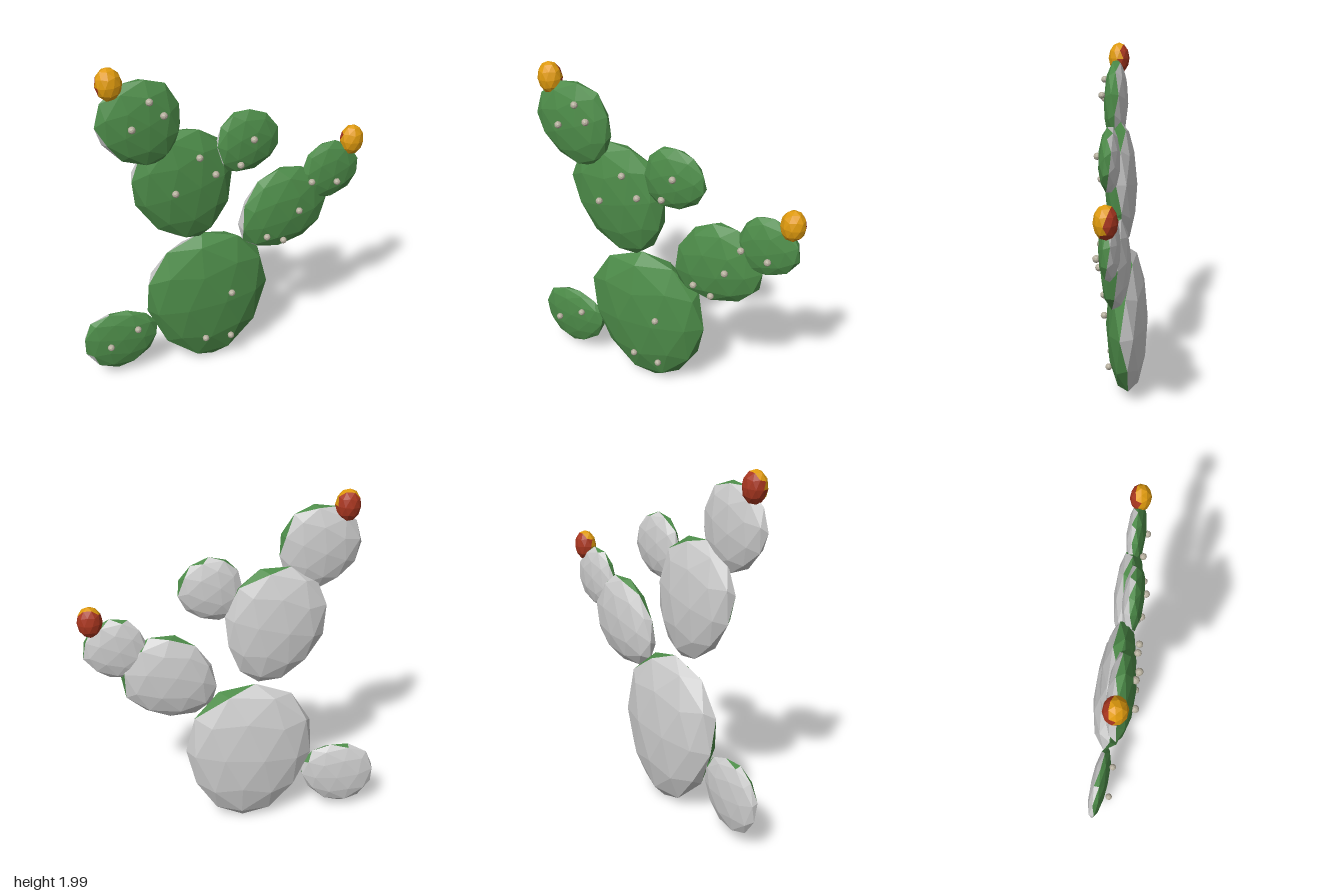
import * as THREE from 'three';

const mat = (name, color) => Object.assign(new THREE.MeshStandardMaterial({ color, flatShading: true }), { name });

// Faceted egg with its narrow end at the bottom; facets are split into a front and a back colour.
function twoToneEgg(name, { pos, size, tilt = 0, taper = 0, lean = 0, spin = 0, facing, mats }) {
  const ball = new THREE.IcosahedronGeometry(1, 1);
  ball.rotateZ(Math.atan(2 / (1 + Math.sqrt(5)))); // one vertex straight up
  ball.rotateY(spin);
  const p = ball.attributes.position;
  const zAxis = new THREE.Vector3(0, 0, 1);
  const sides = [[], []];
  for (let i = 0; i < p.count; i += 3) {
    const corners = [0, 1, 2].map((k) => new THREE.Vector3().fromBufferAttribute(p, i + k));
    const centre = new THREE.Vector3();
    corners.forEach((c) => centre.add(c));
    const side = centre.applyAxisAngle(zAxis, tilt).dot(facing) > 0 ? 0 : 1;
    for (const c of corners) {
      const w = 1 + taper * c.y;
      c.set(c.x * size[0] * w, c.y * size[1], c.z * size[2] + lean * c.y);
      sides[side].push(...c.toArray());
    }
  }
  const geo = new THREE.BufferGeometry();
  geo.setAttribute('position', new THREE.Float32BufferAttribute([...sides[0], ...sides[1]], 3));
  geo.addGroup(0, sides[0].length / 3, 0);
  geo.addGroup(sides[0].length / 3, sides[1].length / 3, 1);
  geo.computeVertexNormals();
  const mesh = new THREE.Mesh(geo, mats);
  mesh.name = name;
  mesh.position.set(...pos);
  mesh.rotation.z = tilt;
  return mesh;
}

export function createModel() {
  const model = new THREE.Group();
  model.name = 'cactus';
  const padMats = [mat('green', 0x4d8c49), mat('paleGrey', 0xcccccc)];
  const fruitMats = [mat('orange', 0xdf9a0e), mat('red', 0xa8361f)];
  const spineMat = mat('stone', 0xb4ad9c);

  // Flat pads: centre, half sizes, tilt in the front plane, lean in depth, spin
  const padFacing = new THREE.Vector3(0.15, 0.18, 1);
  const pads = [
    ['mainPad', [-0.09, 0.46, -0.033], [0.37, 0.45, 0.12], 0.08, 0.01, 0.2],
    ['lowPad', [-0.62, 0.275, -0.05], [0.2, 0.225, 0.052], 1.92, -0.02, 0.1],
    ['middlePad', [-0.235, 1.25, 0.015], [0.285, 0.355, 0.092], 0.25, 0.01, 0.25],
    ['topPad', [-0.475, 1.675, 0.065], [0.225, 0.25, 0.07], 0.4, 0, 0.15],
    ['smallPad', [0.107, 1.47, 0.05], [0.18, 0.19, 0.058], -0.65, 0, 0.3],
    ['sidePad', [0.35, 0.975, -0.007], [0.245, 0.285, 0.08], -0.95, 0, 0.2],
    ['endPad', [0.635, 1.172, 0], [0.175, 0.19, 0.055], -0.75, 0, 0.1],
  ];
  for (const [name, pos, size, tilt, lean, spin] of pads) {
    model.add(twoToneEgg(name, { pos, size, tilt, lean, spin, taper: 0.17, facing: padFacing, mats: padMats }));
  }

  // Fruits on the outermost pads
  const fruitFacing = new THREE.Vector3(0.1, 0.45, 1);
  [['topFruit', [-0.625, 1.91, 0.06], 0.08], ['sideFruit', [0.77, 1.35, 0.005], -0.05]].forEach(([name, pos, tilt]) => {
    model.add(twoToneEgg(name, { pos, size: [0.07, 0.09, 0.062], tilt, spin: 0.2, facing: fruitFacing, mats: fruitMats }));
  });

  // Spine buds on the front faces
  const buds = [
    [-0.44, 1.815, 0.128], [-0.37, 1.735, 0.138], [-0.54, 1.685, 0.14],
    [0.13, 1.505, 0.112], [0.06, 1.36, 0.1], [-0.175, 1.45, 0.11],
    [-0.085, 1.335, 0.108], [-0.315, 1.265, 0.118], [0.51, 1.148, 0.056],
    [0.665, 1.125, 0.062], [0.43, 0.988, 0.075], [0.24, 0.845, 0.062],
    [0.345, 0.8, 0.058], [0.015, 0.532, 0.092], [-0.14, 0.228, 0.07],
    [0.02, 0.205, 0.066], [-0.7, 0.272, 0.018], [-0.535, 0.36, 0.02],
  ];
  const budGeo = new THREE.IcosahedronGeometry(0.02, 1);
  const spines = new THREE.Group();
  spines.name = 'spineBuds';
  for (const b of buds) {
    const bud = new THREE.Mesh(budGeo, spineMat);
    bud.name = 'spineBud';
    bud.position.set(...b);
    spines.add(bud);
  }
  model.add(spines);
  return model;
}
